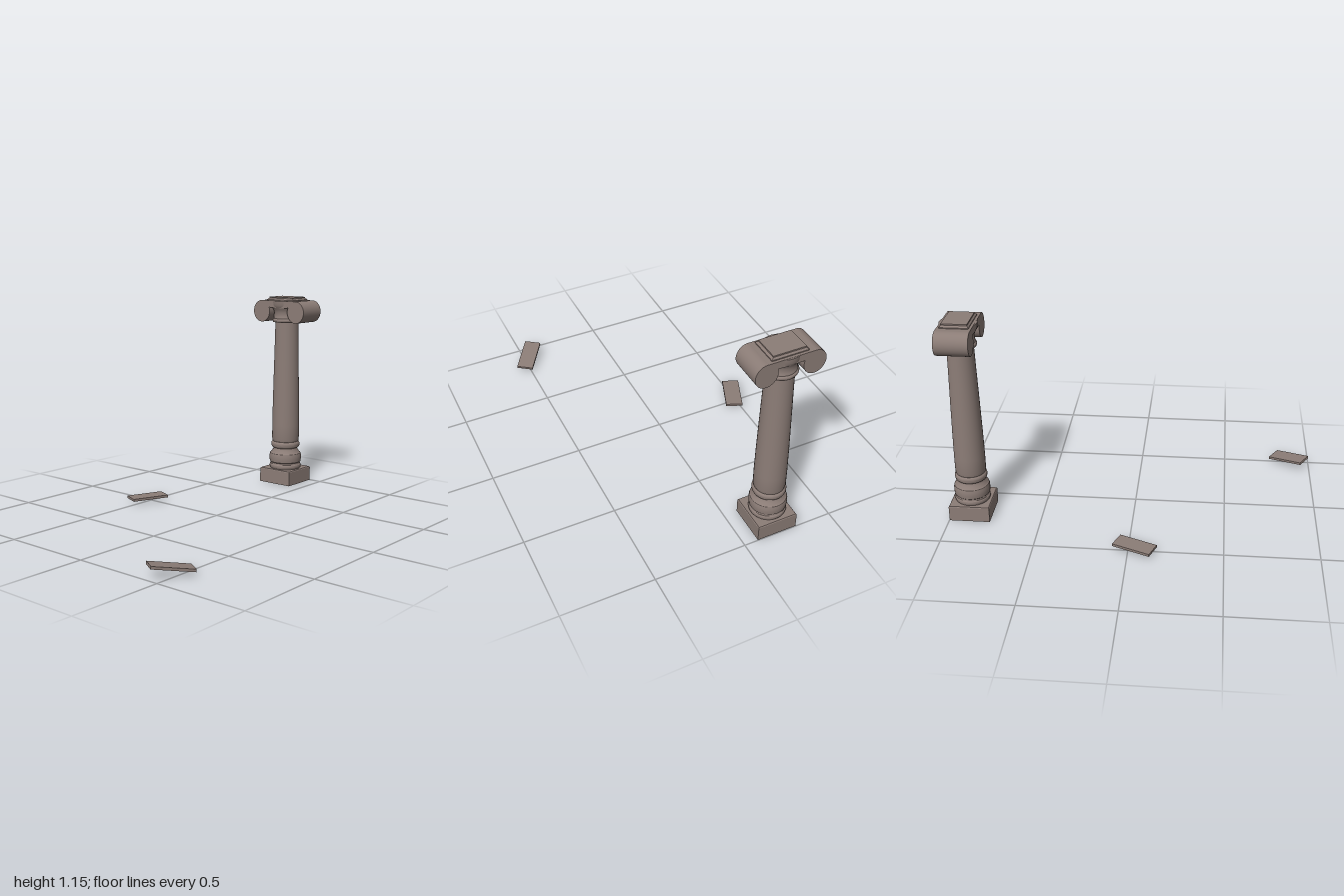
import * as THREE from 'three';
import { toCreasedNormals } from 'three/addons/utils/BufferGeometryUtils.js';

const stone = new THREE.MeshStandardMaterial({ color: 0x8c7d77, side: THREE.DoubleSide });
stone.name = 'stone';

const toPoints = (list) => list.map(([r, y]) => new THREE.Vector2(r, y));

function part(name, geometry, parent) {
  const mesh = new THREE.Mesh(geometry, stone);
  mesh.name = name;
  parent.add(mesh);
  return mesh;
}

// Smooth round profile with sharp edges kept
function turned(list) {
  return toCreasedNormals(new THREE.LatheGeometry(toPoints(list), 36), 0.6);
}

// Four-sided profile; radii are multiples of the half sizes
function squared(list, halfX, halfZ) {
  const profile = toPoints(list.map(([r, y]) => [r * Math.SQRT2, y]));
  const g = new THREE.LatheGeometry(profile, 4, Math.PI / 4).toNonIndexed();
  g.scale(halfX, 1, halfZ);
  g.computeVertexNormals();
  return g;
}

// Half-round moulding from y0 to y1, bulging from r to r + bulge
function torus(r, bulge, y0, y1) {
  return Array.from({ length: 9 }, (_, i) => {
    const a = (i / 8) * Math.PI;
    return [r + bulge * Math.sin(a), (y0 + y1) / 2 - ((y1 - y0) / 2) * Math.cos(a)];
  });
}

export function createModel() {
  const model = new THREE.Group();
  const column = new THREE.Group();
  column.name = 'column';
  column.position.set(0.887, 0, -0.188);
  model.add(column);

  // Plinth, hollow underneath
  part('plinth', squared([[1, 0], [1, 0.083], [0.97, 0.088], [0, 0.088]], 0.111, 0.111), column);

  // Stacked base mouldings
  part('baseMouldings', turned([
    [0.092, 0.086], ...torus(0.092, 0.005, 0.09, 0.115), [0.091, 0.125],
    [0.096, 0.13], [0.098, 0.145], [0.098, 0.168], [0.094, 0.183], [0.084, 0.191],
    [0.082, 0.196], [0.075, 0.205], [0.073, 0.216],
    ...torus(0.077, 0.011, 0.218, 0.257), [0.081, 0.262],
  ]), column);

  // Tapering shaft
  part('shaft', turned([
    [0.079, 0.257], [0.083, 0.275], [0.083, 0.36], [0.081, 0.5],
    [0.077, 0.68], [0.073, 0.85], [0.070, 1.0],
  ]), column);

  // Round capital core with a flared rim
  part('capitalCore', turned([
    [0.068, 0.998], [0.084, 0.998], ...torus(0.083, 0.004, 1.0, 1.018),
    [0.080, 1.02], [0.080, 1.026], [0.078, 1.03], [0.078, 1.06],
    [0.084, 1.075], [0.092, 1.09], [0.097, 1.102], [0.098, 1.128], [0, 1.128],
  ]), column);

  // Scroll rolls at front and back
  for (const side of [1, -1]) {
    const roll = new THREE.CylinderGeometry(0.06, 0.06, 0.178, 36);
    roll.rotateZ(Math.PI / 2);
    roll.scale(1, 1.09, 1);
    part(side > 0 ? 'frontScroll' : 'backScroll', roll, column).position.set(0, 1.064, side * 0.126);
  }

  // Saddle joining the scrolls over the core
  const saddle = new THREE.Shape();
  saddle.moveTo(-0.126, 1.129);
  saddle.lineTo(-0.08, 1.09);
  saddle.quadraticCurveTo(0, 1.08, 0.08, 1.09);
  saddle.lineTo(0.126, 1.129);
  const saddleGeo = new THREE.ExtrudeGeometry(saddle, { depth: 0.178, bevelEnabled: false });
  saddleGeo.translate(0, 0, -0.089);
  saddleGeo.rotateY(Math.PI / 2);
  part('scrollSaddle', saddleGeo, column);

  // Stepped cap slab
  part('capSlab', squared([
    [1, 1.127], [1, 1.134], [0.89, 1.143], [0.89, 1.15], [0, 1.15],
  ], 0.075, 0.097), column);

  // Loose slabs lying apart from the column
  const slab = new THREE.BoxGeometry(0.214, 0.014, 0.095);
  const deg = THREE.MathUtils.degToRad;
  part('flatSlab', slab, model).position.set(-0.034, 0.029, -0.495);
  model.getObjectByName('flatSlab').rotation.y = deg(-22);
  const tilted = part('tiltedSlab', slab, model);
  tilted.position.set(-0.881, 0.043, 0.477);
  tilted.rotation.set(deg(-2.5), deg(-33.5), deg(-9), 'YZX');

  return model;
}
